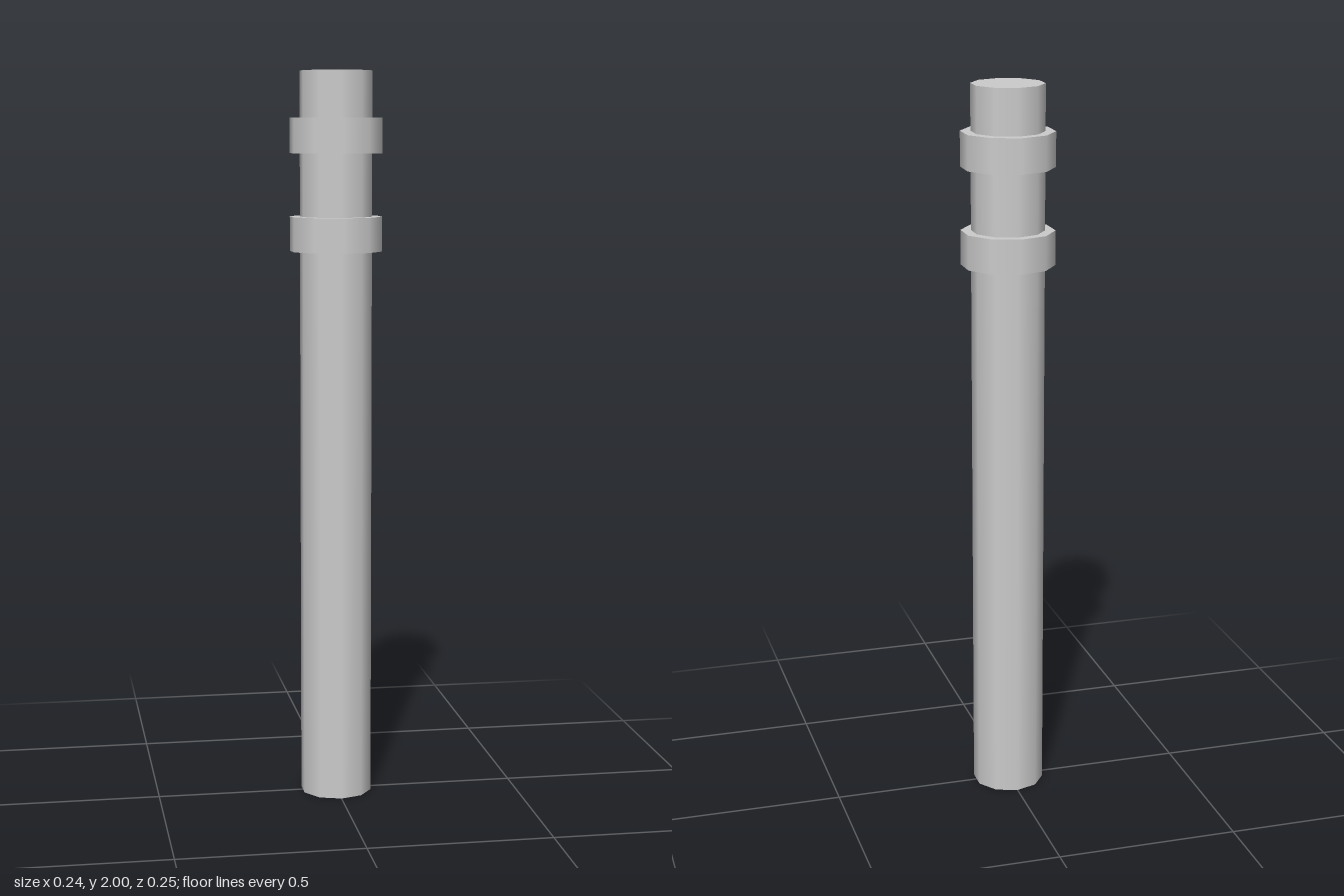
import * as THREE from 'three';

const SIDES = 10;
const PIPE_RADIUS = 0.099;
const COLLAR_RADIUS = 0.127;
const HEIGHT = 2;

export function createModel() {
  const model = new THREE.Group();
  model.name = 'pipe';
  const material = new THREE.MeshStandardMaterial({ color: 0xcccccc, side: THREE.DoubleSide });

  const add = (name, geometry, y) => {
    const mesh = new THREE.Mesh(geometry, material);
    mesh.name = name;
    mesh.position.y = y;
    model.add(mesh);
    return mesh;
  };

  // Ten-sided shaft, open at the foot
  add('shaft', new THREE.CylinderGeometry(PIPE_RADIUS, PIPE_RADIUS, HEIGHT, SIDES, 1, true), HEIGHT / 2);

  // Flat lid, turned so its corners meet the shaft
  const lid = new THREE.CircleGeometry(PIPE_RADIUS, SIDES, Math.PI / 2).rotateX(-Math.PI / 2);
  add('topCap', lid, HEIGHT);

  // Two collars near the top
  const collars = [['lowerCollar', 1.516, 1.61], ['upperCollar', 1.78, 1.875]];
  for (const [name, bottom, top] of collars) {
    add(name, new THREE.CylinderGeometry(COLLAR_RADIUS, COLLAR_RADIUS, top - bottom, SIDES), (bottom + top) / 2);
  }

  return model;
}
